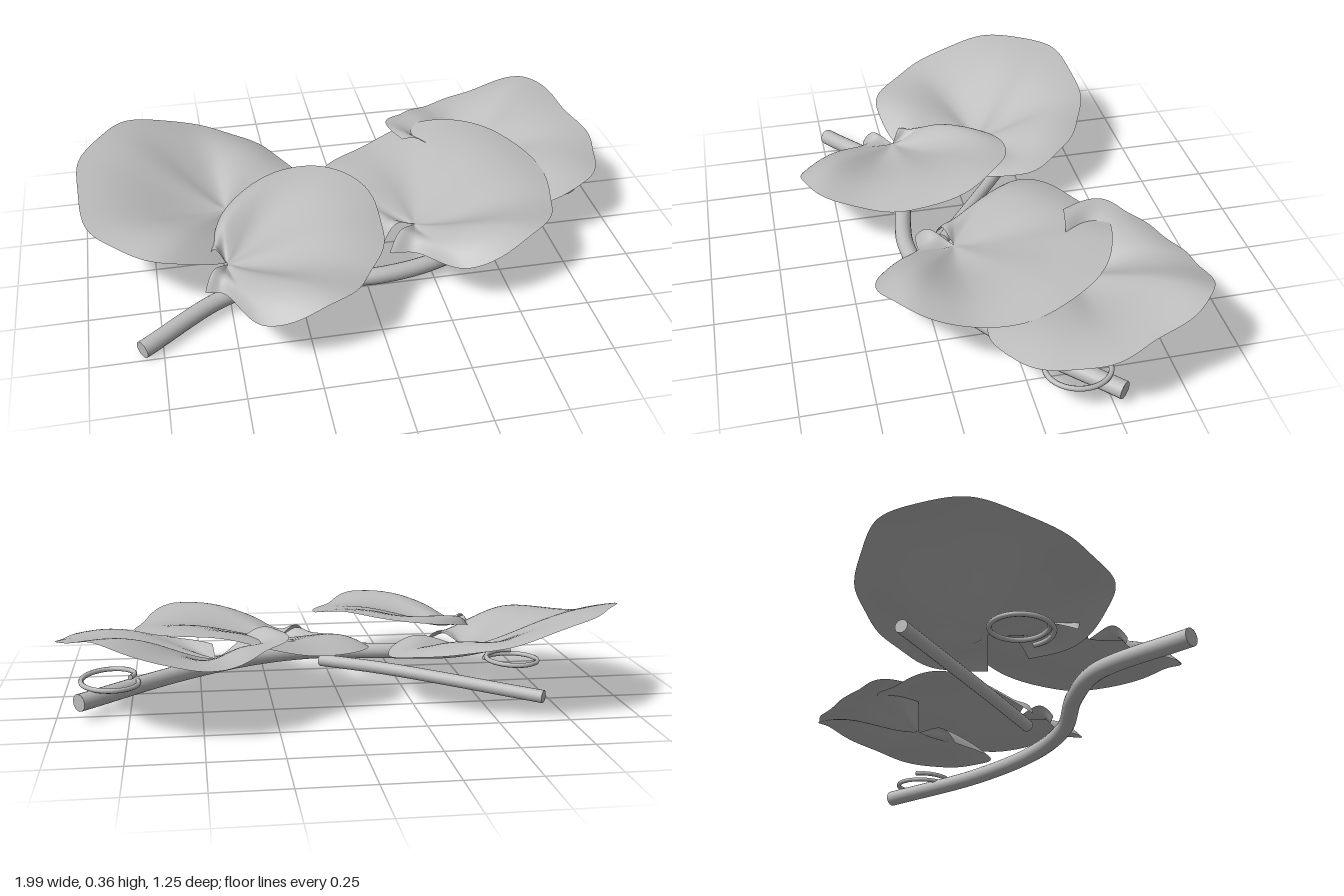
import * as THREE from 'three';

const leafGrey = new THREE.MeshStandardMaterial({ color: 0xbcbcbc, side: THREE.DoubleSide });
leafGrey.name = 'leaf grey';

// Each leaf fans round its hub from one side of the sinus to the other (degrees, seen from above);
// reach and height give the rim at even steps of that fan
const LEAVES = [
  { name: 'backRightLeaf', hub: [-0.47, 0.17, -0.1], from: -10, to: 305,
    reach: [0.27, 0.335, 0.38, 0.45, 0.525, 0.535, 0.52, 0.45, 0.3, 0.2],
    height: [0.165, 0.18, 0.225, 0.28, 0.36, 0.35, 0.255, 0.23, 0.155, 0.15] },
  { name: 'frontRightLeaf', hub: [-0.5, 0.17, 0.24], from: -130, to: 140,
    reach: [0.14, 0.13, 0.36, 0.49, 0.52, 0.565, 0.565, 0.465, 0.25, 0.11, 0.08],
    height: [0.14, 0.14, 0.16, 0.24, 0.225, 0.25, 0.305, 0.28, 0.23, 0.19, 0.17] },
  { name: 'frontLeftLeaf', hub: [0.2, 0.17, 0.13], from: -135, to: 200,
    reach: [0.17, 0.14, 0.32, 0.455, 0.52, 0.575, 0.565, 0.505, 0.44, 0.17, 0.13],
    height: [0.14, 0.14, 0.165, 0.26, 0.235, 0.275, 0.3, 0.225, 0.205, 0.165, 0.14] },
  { name: 'backLeftLeaf', hub: [0.45, 0.19, -0.22], from: -85, to: 170,
    reach: [0.15, 0.38, 0.52, 0.545, 0.52, 0.53, 0.435, 0.37, 0.315, 0.3, 0.21],
    height: [0.16, 0.18, 0.23, 0.255, 0.3, 0.35, 0.28, 0.25, 0.28, 0.3, 0.3] },
];

// Cupped sheet swept from the hub, over a rounded shoulder, out to a smooth wavy rim
function makeLeaf({ name, hub, from, to, reach, height }) {
  const curve = new THREE.CatmullRomCurve3(reach.map((r, i) => {
    const angle = THREE.MathUtils.degToRad(from + (to - from) * i / (reach.length - 1));
    return new THREE.Vector3(hub[0] + r * Math.cos(angle), height[i], hub[2] - r * Math.sin(angle));
  }));
  const rings = 16, steps = 150;
  const positions = [], index = [];
  for (let j = 0; j <= steps; j++) {
    const t = j / steps;
    const edge = curve.getPoint(t);
    const scallop = 1 + 0.01 * Math.sin(t * 60);
    for (let i = 0; i <= rings; i++) {
      const s = i / rings;
      const fold = 0.04 * s * (1 - s) * Math.cos(t * Math.PI * 8);
      const shoulder = 0.035 * Math.sin(Math.PI * Math.pow(s, 1.6));
      positions.push(
        hub[0] + (edge.x - hub[0]) * s * scallop,
        hub[1] + (edge.y - hub[1]) * Math.pow(s, 1.35) + fold + shoulder,
        hub[2] + (edge.z - hub[2]) * s * scallop);
      if (j < steps && i < rings) {
        const a = j * (rings + 1) + i, b = a + rings + 1;
        if (i > 0) index.push(a, b + 1, b);
        index.push(a, a + 1, b + 1);
      }
    }
  }
  const geometry = new THREE.BufferGeometry();
  geometry.setAttribute('position', new THREE.Float32BufferAttribute(positions, 3));
  geometry.setIndex(index);
  geometry.computeVertexNormals();
  // one shared normal at the hub keeps the middle smooth
  for (let j = 0; j <= steps; j++) geometry.attributes.normal.setXYZ(j * (rings + 1), 0, 1, 0);
  const leaf = new THREE.Mesh(geometry, leafGrey);
  leaf.name = name;
  return leaf;
}

// Round stem with flat capped ends
function makeStem(name, points, radius, sides = 16) {
  const group = new THREE.Group();
  group.name = name;
  const curve = new THREE.CatmullRomCurve3(points.map((p) => new THREE.Vector3(...p)));
  const tube = new THREE.Mesh(new THREE.TubeGeometry(curve, 90, radius, sides), leafGrey);
  tube.name = name + 'Tube';
  group.add(tube);
  for (const t of [0, 1]) {
    const cap = new THREE.Mesh(new THREE.CircleGeometry(radius, sides), leafGrey);
    const end = curve.getPoint(t);
    cap.name = name + 'End';
    cap.position.copy(end);
    cap.lookAt(end.clone().addScaledVector(curve.getTangent(t), t ? 1 : -1));
    group.add(cap);
  }
  return group;
}

// Loose coil that tightens slightly as it rises
function makeTendril(name, x, y, z, rx, rz, rise, start) {
  const points = [];
  for (let i = 0; i <= 24; i++) {
    const t = i / 24, angle = start + t * Math.PI * 2.4, k = 1 - 0.15 * t;
    points.push([x + rx * k * Math.cos(angle), y + rise * t, z + rz * k * Math.sin(angle)]);
  }
  return makeStem(name, points, 0.009, 8);
}

export function createModel() {
  const model = new THREE.Group();
  model.name = 'vineWithLeaves';
  LEAVES.forEach((leaf) => model.add(makeLeaf(leaf)));

  // stems lying below the leaves
  model.add(makeStem('mainStem', [
    [-0.82, 0.035, 0.48], [-0.5, 0.055, 0.27], [-0.25, 0.068, 0.25], [0.04, 0.07, 0.28],
    [0.29, 0.068, 0.22], [0.58, 0.065, 0.04], [0.92, 0.065, -0.28]], 0.031));
  model.add(makeStem('sideStem', [
    [-0.68, 0.062, -0.41], [-0.2, 0.078, -0.05], [0.035, 0.07, 0.14]], 0.023));

  // coiled tendrils
  model.add(makeTendril('leftTendril', 0.825, 0.085, -0.145, 0.105, 0.12, 0.04, 2.4));
  model.add(makeTendril('rightTendril', -0.67, 0.085, -0.03, 0.105, 0.11, 0.022, 0.6));
  return model;
}
